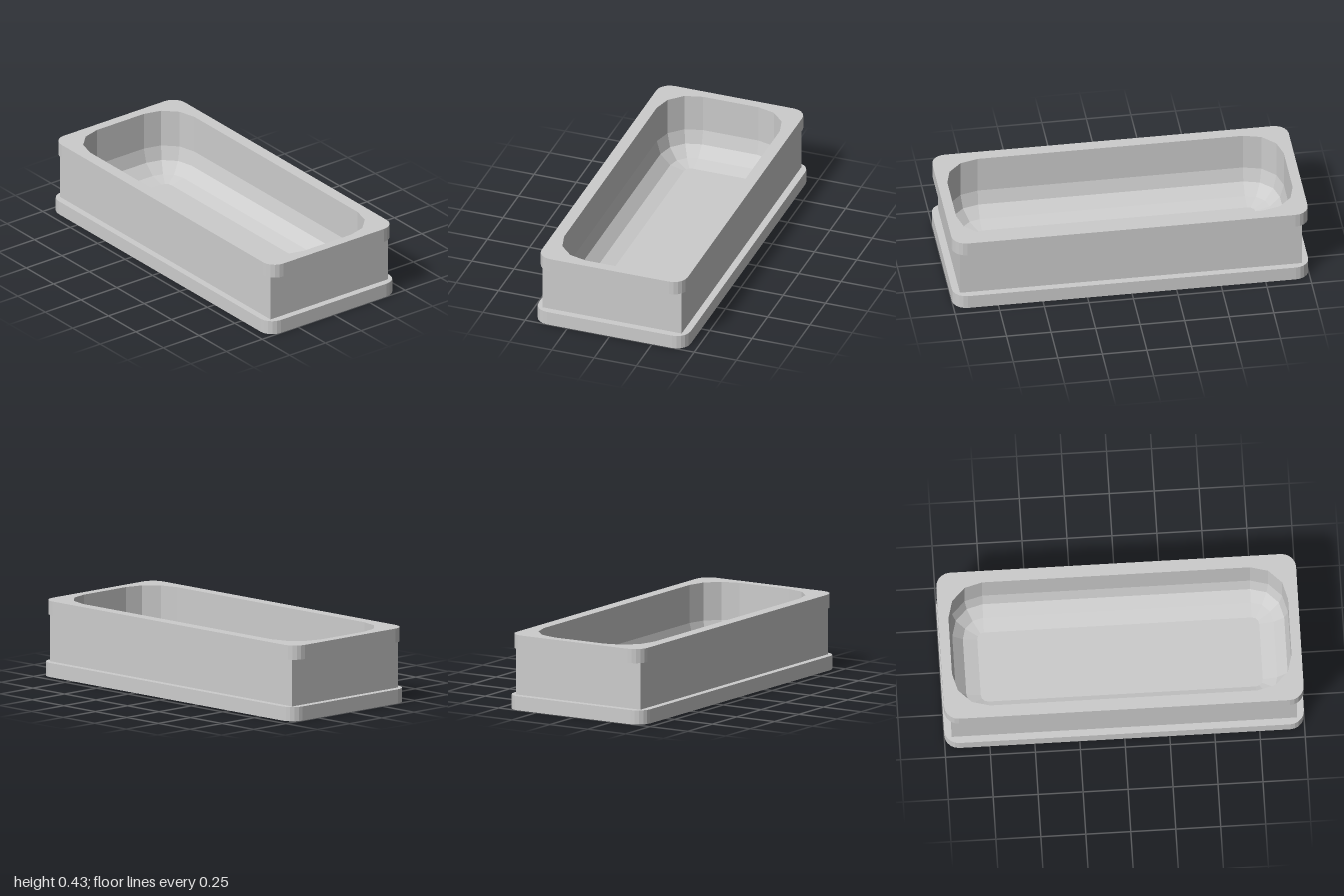
import * as THREE from 'three';
import { mergeGeometries } from 'three/addons/utils/BufferGeometryUtils.js';

// Rounded rectangle (half width, half length, corner radius), counter-clockwise from above
function outline(hw, hl, r = 0, segs = 5) {
  const pts = [];
  [[1, 1], [-1, 1], [-1, -1], [1, -1]].forEach(([sx, sy], q) => {
    for (let i = 0; i <= (r ? segs : 0); i++) {
      const a = (q + i / segs) * Math.PI / 2;
      pts.push(new THREE.Vector2(sx * (hw - r) + r * Math.cos(a), sy * (hl - r) + r * Math.sin(a)));
    }
  });
  return pts;
}

// Walls joining successive outlines [points, y]; rising faces outward, falling faces inward
function walls(rings) {
  const pos = [];
  const put = ([pts, y], i) => {
    const p = pts[i % pts.length];
    pos.push(p.x, y, -p.y);
  };
  for (let k = 0; k + 1 < rings.length; k++) {
    const a = rings[k], b = rings[k + 1];
    for (let i = 0; i < a[0].length; i++) {
      put(a, i); put(a, i + 1); put(b, i + 1);
      put(a, i); put(b, i + 1); put(b, i);
    }
  }
  const g = new THREE.BufferGeometry();
  g.setAttribute('position', new THREE.Float32BufferAttribute(pos, 3));
  g.computeVertexNormals();
  return g;
}

// Horizontal face with an optional hole, looking up or down
function flat(pts, y, hole, down = false) {
  const shape = new THREE.Shape(pts);
  if (hole) shape.holes.push(new THREE.Path(hole));
  let g = new THREE.ShapeGeometry(shape);
  g.rotateX(down ? Math.PI / 2 : -Math.PI / 2).translate(0, y, 0);
  g = g.toNonIndexed();
  g.deleteAttribute('uv');
  return g;
}

export function createModel() {
  const model = new THREE.Group();
  const stone = new THREE.MeshStandardMaterial({ color: 0xcccccc });
  stone.name = 'pale grey';

  const add = (name, ...parts) => {
    const mesh = new THREE.Mesh(mergeGeometries(parts), stone);
    mesh.name = name;
    model.add(mesh);
  };

  const baseTop = 0.08, rimBottom = 0.345, top = 0.425;
  const base = outline(0.45, 1, 0.08);
  const rim = outline(0.432, 1, 0.08);
  const body = outline(0.411, 0.96);

  // Basin: straight walls, then a three-step rounded fillet down to the floor
  const fillet = 0.16, floorY = 0.05;
  const basin = inset => outline(0.364, 0.944, 0.2, 3).length && outline(0.364 - inset, 0.944 - inset, 0.2 - inset, 3);
  const rings = [[basin(0), top]];
  for (let i = 0; i <= 3; i++) {
    const a = i * Math.PI / 6;
    rings.push([basin(fillet * (1 - Math.cos(a))), floorY + fillet * (1 - Math.sin(a))]);
  }

  add('base', walls([[base, 0], [base, baseTop]]), flat(base, 0, null, true), flat(base, baseTop, body));
  add('body', walls([[body, baseTop], [body, rimBottom]]));
  // For downward faces the outline is mirrored in z, which the symmetry makes harmless
  add('rim', walls([[rim, rimBottom], [rim, top]]), flat(rim, rimBottom, body, true), flat(rim, top, basin(0)));
  add('basin', walls(rings), flat(basin(fillet), floorY));
  return model;
}
